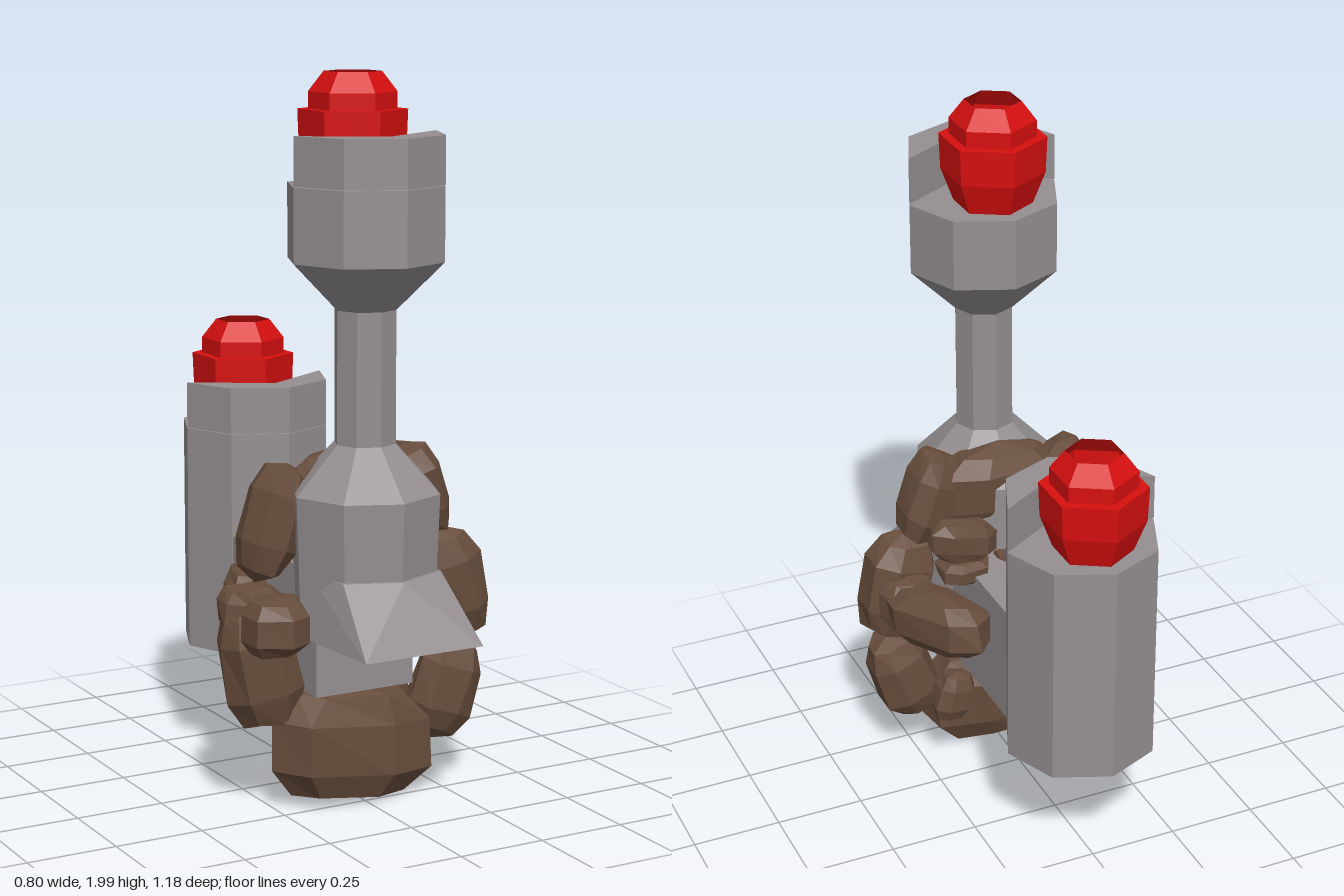
import * as THREE from 'three';
import { ConvexGeometry } from 'three/addons/geometries/ConvexGeometry.js';

const CX = -0.0125; // centre line of the grey and red parts

export function createModel() {
  const model = new THREE.Group();
  model.name = 'stoneHandHoldingLauncher';

  const mat = (name, color, side = THREE.FrontSide) => {
    const m = new THREE.MeshStandardMaterial({ color, side, flatShading: true });
    m.name = name;
    return m;
  };
  const grey = mat('steelGrey', 0x958f91);
  const red = mat('signalRed', 0xd80f0f, THREE.DoubleSide);
  const brown = mat('stoneBrown', 0x674d3c);

  const add = (name, geometry, material, parent = model) => {
    const mesh = new THREE.Mesh(geometry, material);
    mesh.name = name;
    parent.add(mesh);
    return mesh;
  };

  // Eight-sided solid of revolution with corners on the axes
  const octagon = (name, z, profile) => {
    const points = profile.map(([r, y]) => new THREE.Vector2(r, y));
    add(name, new THREE.LatheGeometry(points, 8), grey).position.set(CX, 0, z);
  };

  // Vertical prism from an outline of [x, z] points
  const prism = (name, outline, z, y0, y1) => {
    const shape = new THREE.Shape(outline.map(([x, pz]) => new THREE.Vector2(x, -pz)));
    const g = new THREE.ExtrudeGeometry(shape, { depth: y1 - y0, bevelEnabled: false });
    g.rotateX(-Math.PI / 2);
    add(name, g, grey).position.set(CX, y0, z);
  };

  const R = 0.215;
  const D = R * Math.SQRT1_2;

  // Raised front guard and hexagonal open-topped warhead on each cup
  const loadCup = (prefix, z, rim) => {
    const guard = [[-R, 0], [-D, D], [0, R], [D, D], [R, 0], [0, 0.13]];
    prism(prefix + 'Guard', guard, z, rim, rim + 0.13);
    const profile = [[0.108, 0], [0.142, 0.09], [0.146, 0.19], [0.118, 0.19],
      [0.118, 0.235], [0.077, 0.288]].map(([r, y]) => new THREE.Vector2(r, y));
    add(prefix + 'Warhead', new THREE.LatheGeometry(profile, 6), red)
      .position.set(CX, rim, z - 0.07);
  };

  // Upper cup, stem and collar
  octagon('upperBody', 0.265, [[0, 0.52], [0.195, 0.52], [0.208, 0.89], [0.085, 1.02],
    [0.085, 1.38], [R, 1.51], [R, 1.71], [0, 1.71]]);
  loadCup('upper', 0.265, 1.712);

  // Flared front skirt
  const skirt = [];
  for (const s of [-1, 1]) {
    for (const [x, y, z] of [[0.15, 0.68, 0.415], [0, 0.68, 0.475], [0.17, 0.68, 0.27],
      [0.178, 0.51, 0.585], [0.2, 0.51, 0.28], [0.13, 0.51, 0.12]]) {
      skirt.push(new THREE.Vector3(s * x + CX, y, z));
    }
  }
  add('frontSkirt', new ConvexGeometry(skirt), grey);

  // Rear cup and the arm that carries it
  octagon('rearCup', -0.375, [[0, 0.33], [R, 0.33], [R, 0.97], [0, 0.97]]);
  loadCup('rear', -0.375, 0.972);
  add('connectingArm', new THREE.BoxGeometry(0.3, 0.345, 0.645), grey)
    .position.set(CX, 0.5055, -0.0525);

  // Blocky faceted stone: a squared-off sphere with slight repeatable unevenness
  const hand = new THREE.Group();
  hand.name = 'stoneHand';
  model.add(hand);
  const square = (v) => Math.sign(v) * Math.abs(v) ** 0.72;
  const stone = (name, [x, y, z], [w, h, d], [rx, ry, rz] = [0, 0, 0], seed = 1) => {
    const g = new THREE.SphereGeometry(1, 7, 5);
    const p = g.attributes.position;
    for (let i = 0; i < p.count; i++) {
      const v = [p.getX(i), p.getY(i), p.getZ(i)].map((c) => Math.round(c * 1000) / 1000);
      const n = Math.sin(v[0] * 12.9 + v[1] * 78.2 + v[2] * 37.7 + seed * 4.1) * 437.5;
      const k = 0.88 + 0.14 * (n - Math.floor(n));
      p.setXYZ(i, square(v[0]) * k * w / 2, square(v[1]) * k * h / 2, square(v[2]) * k * d / 2);
    }
    g.computeVertexNormals();
    const m = add(name, g, brown, hand);
    m.position.set(x, y, z);
    m.rotation.set(rx, ry, rz);
  };

  // Ring of large stones round the handle
  stone('heelStone', [-0.02, 0.172, 0.2], [0.53, 0.345, 0.25], [0, 0, -0.08], 2);
  stone('leftLowerStone', [0.285, 0.285, 0.19], [0.2, 0.31, 0.17], [0, 0, -0.35], 3);
  stone('leftMiddleStone', [0.295, 0.58, 0.2], [0.22, 0.35, 0.17], [0, 0, 0.25], 4);
  stone('leftUpperStone', [0.2, 0.86, 0.18], [0.16, 0.29, 0.2], [0, 0, 0.35], 5);
  stone('rightUpperStone', [-0.235, 0.81, 0.15], [0.17, 0.35, 0.18], [0, 0, -0.3], 6);
  stone('rightLowerStone', [-0.29, 0.42, 0.17], [0.23, 0.4, 0.18], [0, 0, 0.2], 7);
  stone('topStone', [-0.01, 0.87, 0.16], [0.4, 0.26, 0.18], [0, 0, 0], 8);
  stone('palmStone', [-0.01, 0.57, 0.13], [0.15, 0.28, 0.36], [0, 0, 0], 9);

  // Fingers and thumb
  stone('leftFinger', [0.25, 0.56, 0.0], [0.17, 0.19, 0.38], [0.08, 0.5, 0], 10);
  stone('leftFingerBase', [0.29, 0.56, 0.16], [0.19, 0.18, 0.22], [0, 0.3, 0], 11);
  stone('leftKnuckle', [0.15, 0.77, 0.05], [0.21, 0.14, 0.1], [0, -0.2, 0.1], 12);
  stone('leftFingertip', [0.15, 0.68, 0.05], [0.16, 0.08, 0.14], [0, 0, 0], 13);
  stone('leftSmallFinger', [0.18, 0.25, 0.065], [0.13, 0.16, 0.11], [0, 0, 0.2], 14);
  stone('rightThumb', [-0.315, 0.565, 0.32], [0.19, 0.17, 0.21], [0, -0.3, 0], 15);
  stone('rightThumbBase', [-0.3, 0.57, 0.15], [0.2, 0.15, 0.17], [0, 0.3, 0], 16);
  stone('rightKnuckle', [-0.165, 0.75, 0.045], [0.24, 0.15, 0.1], [0, 0, -0.3], 17);
  stone('rightFinger', [-0.22, 0.56, -0.03], [0.13, 0.17, 0.26], [0, -0.35, 0], 18);

  return model;
}
